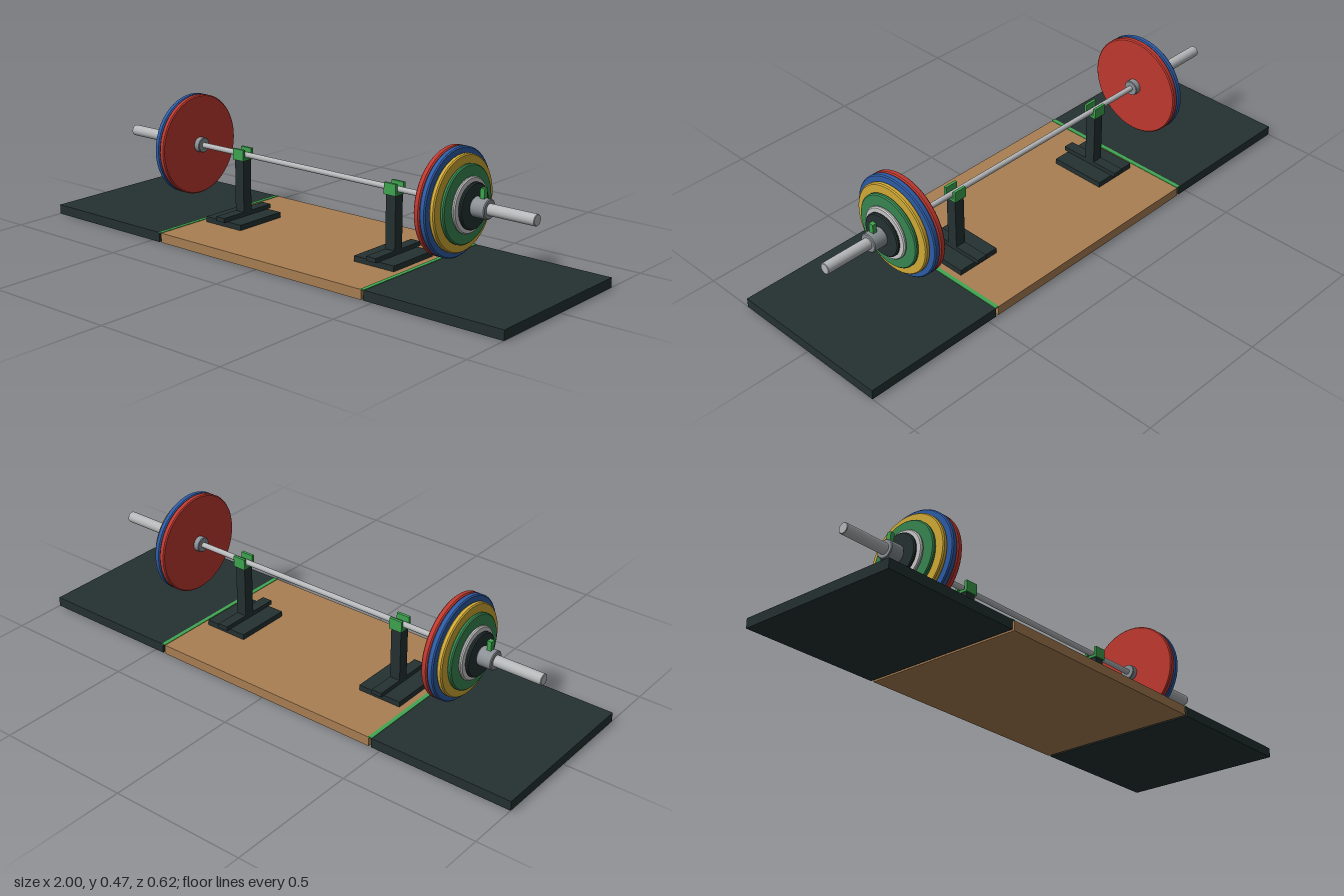
import * as THREE from 'three';

const mat = (name, color) => {
  const m = new THREE.MeshStandardMaterial({ color });
  m.name = name;
  return m;
};

export function createModel() {
  const rubber = mat('black rubber', 0x253132);
  const wood = mat('wood', 0xa97f53);
  const accent = mat('bright green', 0x3fa650);
  const red = mat('plate red', 0xc0392f);
  const blue = mat('plate blue', 0x2d5ca6);
  const yellow = mat('plate yellow', 0xd2aa36);
  const green = mat('plate green', 0x378650);
  const white = mat('plate white', 0xc8c8c8);
  const chrome = mat('chrome', 0xb6b8ba);
  const steel = mat('collar steel', 0x8b9196);

  const model = new THREE.Group();
  model.name = 'barbellPlatform';
  const barY = 0.282;

  // Box given by its lower and upper bounds
  const box = (parent, name, material, [x0, x1], [y0, y1], [z0, z1]) => {
    const m = new THREE.Mesh(new THREE.BoxGeometry(x1 - x0, y1 - y0, z1 - z0), material);
    m.position.set((x0 + x1) / 2, (y0 + y1) / 2, (z0 + z1) / 2);
    m.name = name;
    parent.add(m);
  };

  // Disc or rod along x, with chamfered rims
  const disc = (parent, name, material, x0, x1, r, bevel = 0) => {
    const h = (x1 - x0) / 2;
    const pts = bevel
      ? [[0, -h], [r - bevel, -h], [r, -h + bevel], [r, h - bevel], [r - bevel, h], [0, h]]
      : [[0, -h], [r, -h], [r, h], [0, h]];
    // separate lathe per profile segment keeps the edges sharp
    const group = new THREE.Group();
    group.name = name;
    for (let i = 0; i < pts.length - 1; i++) {
      const seg = [pts[i], pts[i + 1]].map(p => new THREE.Vector2(...p));
      const m = new THREE.Mesh(new THREE.LatheGeometry(seg, 48), material);
      m.name = name + 'Face';
      group.add(m);
    }
    group.rotation.z = -Math.PI / 2;
    group.position.set((x0 + x1) / 2, barY, 0);
    parent.add(group);
  };

  // Lifting platform
  const depth = [-0.31, 0.31];
  box(model, 'woodDeck', wood, [-0.455, 0.455], [0, 0.035], depth);
  for (const s of [-1, 1]) {
    const span = (a, b) => (s > 0 ? [a, b] : [-b, -a]);
    box(model, 'rubberMat', rubber, span(0.465, 1), [0, 0.035], depth);
    box(model, 'edgeStripe', accent, span(0.453, 0.468), [0.033, 0.037], depth);
  }

  // Bar stands
  for (const x of [-0.345, 0.345]) {
    const stand = new THREE.Group();
    stand.name = 'barStand';
    stand.position.x = x;
    box(stand, 'standBase', rubber, [-0.084, 0.084], [0.035, 0.055], [-0.107, 0.107]);
    box(stand, 'standFoot', rubber, [-0.02, 0.02], [0.055, 0.071], [-0.123, 0.123]);
    box(stand, 'standPost', rubber, [-0.02, 0.02], [0.071, 0.263], [-0.02, 0.02]);
    box(stand, 'cradleFloor', accent, [-0.025, 0.025], [0.263, 0.272], [-0.026, 0.026]);
    for (const z of [-0.021, 0.021])
      box(stand, 'cradleProng', accent, [-0.025, 0.025], [0.272, 0.304], [z - 0.005, z + 0.005]);
    model.add(stand);
  }

  // Bar shaft
  disc(model, 'barShaft', chrome, -0.56, 0.56, 0.01);

  // Loaded bar ends: the second is the first turned half way round y
  for (const turn of [0, Math.PI]) {
    const end = new THREE.Group();
    end.name = turn ? 'rightBarEnd' : 'leftBarEnd';
    disc(end, 'sleeveShoulder', steel, 0.54, 0.565, 0.028, 0.002);
    disc(end, 'sleeve', chrome, 0.56, 0.905, 0.02, 0.002);
    const plates = [
      ['redPlate', red, 0.562, 0.584, 0.185],
      ['bluePlate', blue, 0.585, 0.607, 0.185],
      ['yellowPlate', yellow, 0.608, 0.627, 0.164],
      ['greenPlate', green, 0.628, 0.643, 0.134],
      ['whitePlate', white, 0.644, 0.657, 0.095],
      ['blackPlate', rubber, 0.658, 0.671, 0.079]
    ];
    for (const [name, material, x0, x1, r] of plates) disc(end, name, material, x0, x1, r, 0.004);
    // Clamp collar and its lever
    disc(end, 'clampCollar', steel, 0.671, 0.727, 0.034, 0.003);
    box(end, 'clampLever', accent, [0.694, 0.71], [0.312, 0.349], [-0.009, 0.009]);
    end.rotation.y = turn;
    model.add(end);
  }
  return model;
}
